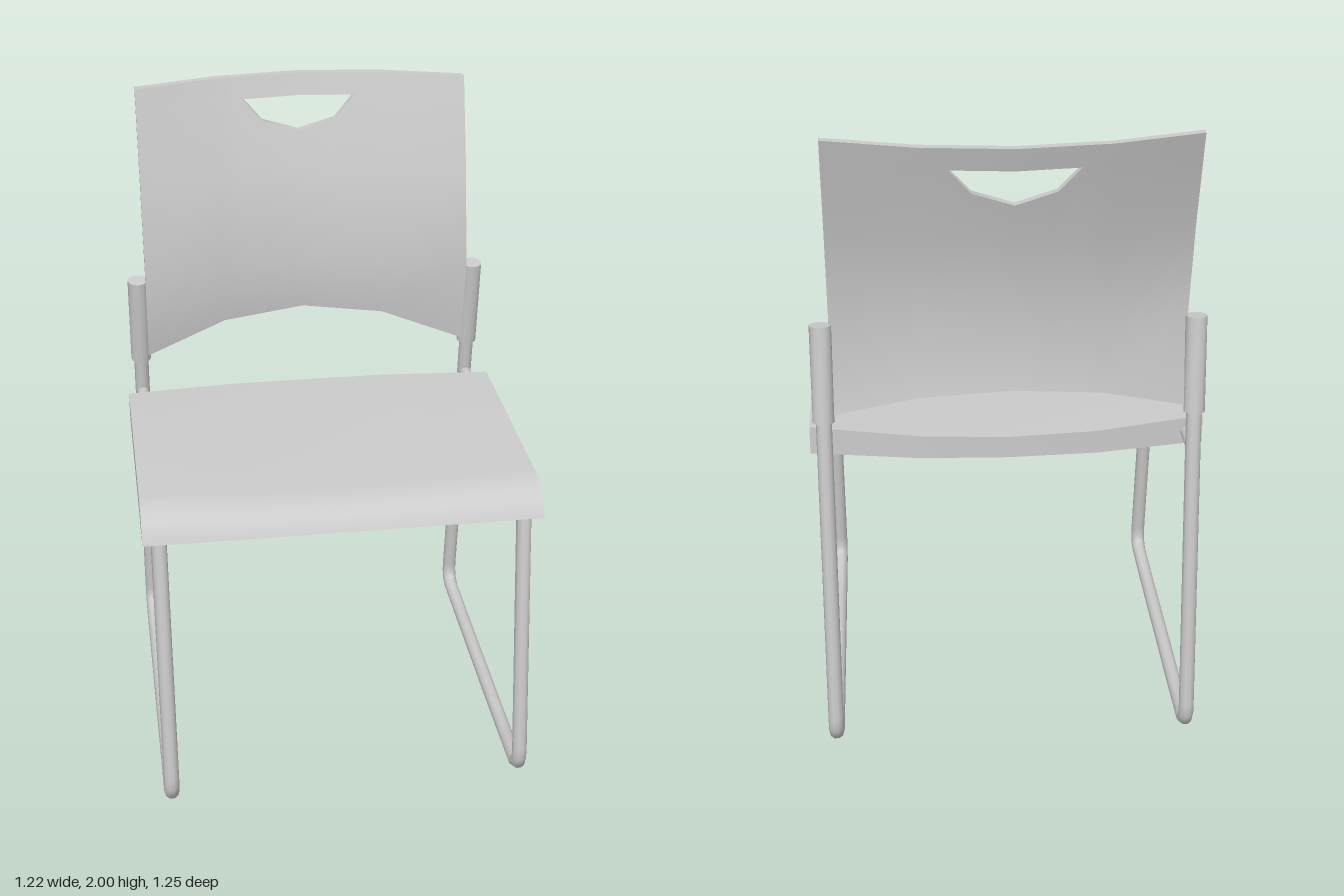
import * as THREE from 'three';
import { toCreasedNormals } from 'three/addons/utils/BufferGeometryUtils.js';

const material = new THREE.MeshStandardMaterial({ color: 0xcccccc });

// Piecewise linear lookup in [[x, y], ...] sorted by x.
function lerpTable(table, x) {
  for (let i = 1; i < table.length; i++) {
    const [x0, y0] = table[i - 1], [x1, y1] = table[i];
    if (x <= x1 || i === table.length - 1) return y0 + (y1 - y0) * (x - x0) / (x1 - x0);
  }
}

function meshFromTriangles(name, points, crease) {
  const geometry = new THREE.BufferGeometry().setFromPoints(points);
  const mesh = new THREE.Mesh(toCreasedNormals(geometry, crease), material);
  mesh.name = name;
  return mesh;
}

// Closed solid through rings that run counter-clockwise about the loft direction.
function loft(name, rings, crease = 0.9) {
  const tris = [], n = rings[0].length, last = rings[rings.length - 1];
  for (let k = 0; k < rings.length - 1; k++) {
    for (let i = 0; i < n; i++) {
      const j = (i + 1) % n, a = rings[k], b = rings[k + 1];
      tris.push(a[i], a[j], b[j], a[i], b[j], b[i]);
    }
  }
  for (let i = 1; i < n - 1; i++) {
    tris.push(rings[0][0], rings[0][i + 1], rings[0][i], last[0], last[i], last[i + 1]);
  }
  return meshFromTriangles(name, tris, crease);
}

// Round bar along [z, y] points in the plane at the given x.
function bar(name, x, path, radius, sides = 10) {
  const pts = path.map(([z, y]) => new THREE.Vector3(x, y, z));
  const u = new THREE.Vector3(1, 0, 0);
  const rings = pts.map((p, k) => {
    const dirIn = p.clone().sub(pts[Math.max(k - 1, 0)]).normalize();
    const dirOut = pts[Math.min(k + 1, pts.length - 1)].clone().sub(p).normalize();
    const v = dirIn.add(dirOut).normalize().cross(u);
    return Array.from({ length: sides }, (_, i) => {
      const a = (i / sides) * Math.PI * 2;
      return p.clone().addScaledVector(u, Math.cos(a) * radius).addScaledVector(v, Math.sin(a) * radius);
    });
  });
  return loft(name, rings);
}

// Seat: rounded front edge, bowed back edge, slightly dished top.
function createSeat() {
  const base = 0.925, top = 1.015;
  const front = [[0.40, top], [0.44, 1.011], [0.475, 0.999], [0.505, 0.98], [0.527, 0.955]];
  const stations = [[-0.61, -0.295, 0], [-0.27, -0.35, 0.015], [0, -0.362, 0.02], [0.27, -0.35, 0.015], [0.61, -0.295, 0]];
  return loft('seat', stations.map(([x, back, dish]) =>
    [[0.54, base], [back, base], [back, top], ...front].map(([z, y]) =>
      new THREE.Vector3(x, y - dish * (y - base) / (top - base), z))), 0.7);
}

// Backrest: curved panel with an arched lower edge and a hand hole.
function createBackrest() {
  const thickness = 0.027, holeTop = 1.93;
  const profile = [[1.09, -0.385], [1.4, -0.34], [1.7, -0.4], [2, -0.487]];
  const bow = [[0, 0.11], [0.27, 0.08], [0.535, 0]];
  const lowerEdge = [[0, 1.22], [0.27, 1.193], [0.535, 1.11]];
  const holeEdge = [[0, 1.82], [0.12, 1.857], [0.185, holeTop], [1, holeTop]];
  const xs = [-0.535, -0.27, -0.185, -0.12, 0, 0.12, 0.185, 0.27, 0.535];
  const grid = xs.map((x) => {
    const ax = Math.abs(x);
    return [lerpTable(lowerEdge, ax), 1.4, 1.7, lerpTable(holeEdge, ax), holeTop, 2].map((y) =>
      new THREE.Vector3(x, y, lerpTable(profile, y) - lerpTable(bow, ax)));
  });
  const cols = xs.length - 1, rows = grid[0].length - 1, holeRow = 3;
  const solid = (i, j) => i >= 0 && j >= 0 && i < cols && j < rows && j !== holeRow;
  const back = (p) => new THREE.Vector3(p.x, p.y, p.z - thickness);
  const tris = [];
  const quad = (a, b, c, d) => {
    for (const t of [[a, b, c], [a, c, d]]) {
      const area = t[1].clone().sub(t[0]).cross(t[2].clone().sub(t[0])).length();
      if (area > 1e-7) tris.push(...t);
    }
  };
  for (let i = 0; i < cols; i++) {
    for (let j = 0; j < rows; j++) {
      if (!solid(i, j)) continue;
      const c = [grid[i][j], grid[i + 1][j], grid[i + 1][j + 1], grid[i][j + 1]];
      quad(...c);
      quad(...c.map(back).reverse());
      // Rim wall wherever a cell borders the outside or the hole.
      [[i, j - 1], [i + 1, j], [i, j + 1], [i - 1, j]].forEach(([ni, nj], e) => {
        const a = c[e], b = c[(e + 1) % 4];
        const closed = nj === holeRow && (i < 2 || i >= cols - 2);
        if (!solid(ni, nj) && !closed) quad(b, a, back(a), back(b));
      });
    }
  }
  return meshFromTriangles('backrest', tris, 0.6);
}

export function createModel() {
  const model = new THREE.Group();
  model.name = 'chair';
  model.add(createSeat(), createBackrest());

  // Sled leg loop: front leg, floor runner and back upright in one bent tube.
  const legPath = [[0.478, 0.95], [0.602, 0.11], [0.603, 0.075], [0.592, 0.045], [0.56, 0.028], [0.3, 0.024],
    [-0.3, 0.024], [-0.49, 0.027], [-0.523, 0.042], [-0.537, 0.07], [-0.536, 0.105], [-0.42, 0.98], [-0.377, 1.36]];

  for (const [side, x] of [['left', 0.56], ['right', -0.56]]) {
    model.add(
      bar(`${side}LegLoop`, x, legPath, 0.024),
      bar(`${side}BackSleeve`, x, [[-0.41, 1.09], [-0.372, 1.39]], 0.033, 12),
      bar(`${side}SeatConnector`, x, [[-0.27, 0.965], [-0.42, 0.965]], 0.02),
    );
  }
  return model;
}
